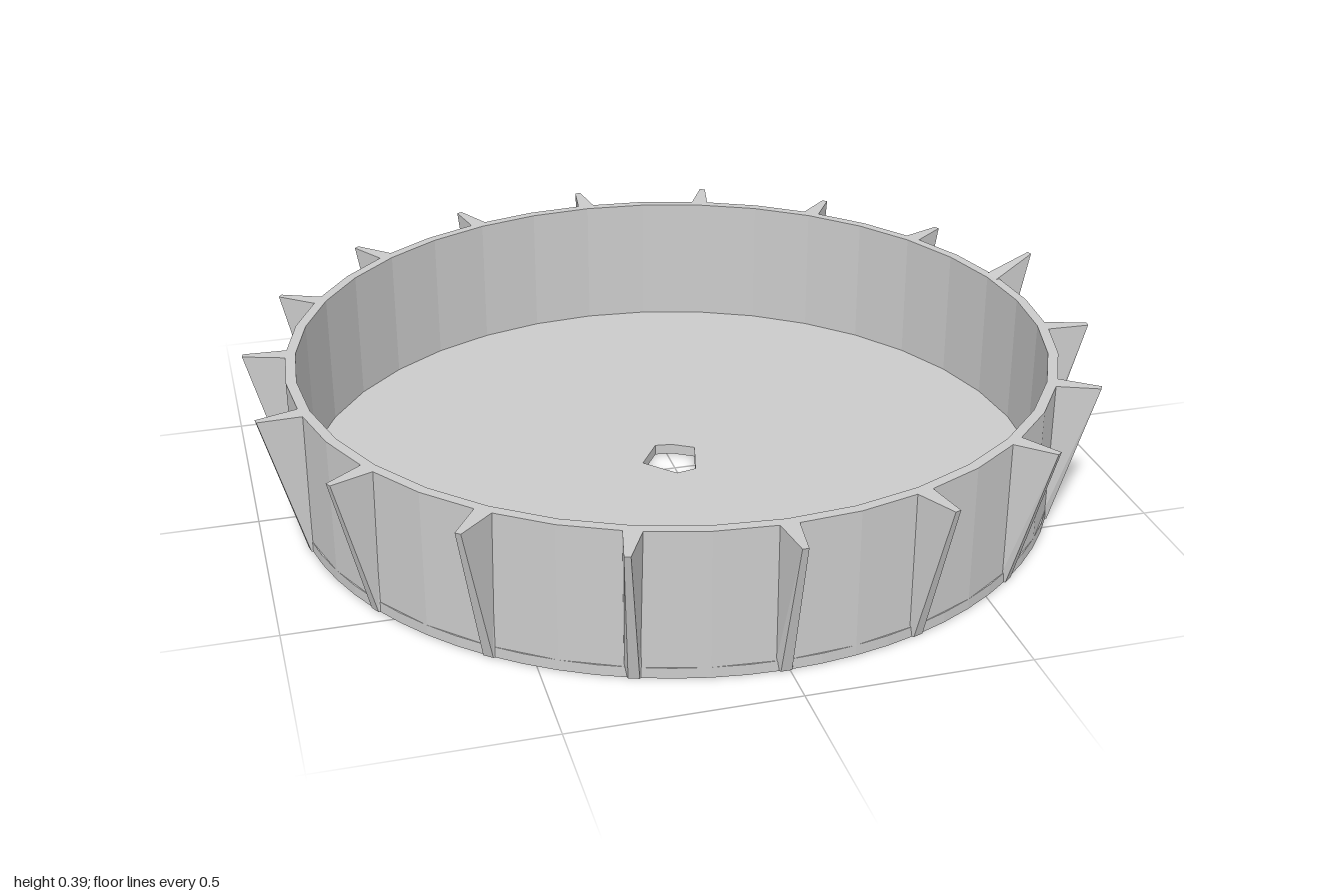
import * as THREE from 'three';

const HEIGHT = 0.345, FLOOR = 0.025, OUTER = 0.902, INNER = 0.878, SIDES = 36;
const FINS = 18;

// Tapered fin: flush with the wall at the bottom, leaning out to a narrow tip at the top
function finGeometry(tipRise) {
  const geo = new THREE.BoxGeometry(2, 1, 1);
  const p = geo.attributes.position;
  for (let i = 0; i < p.count; i++) {
    const side = p.getX(i), top = p.getY(i) > 0, tip = p.getZ(i) > 0;
    const half = tip ? (top ? 0.007 : 0.012) : 0.022;
    const radius = tip ? (top ? 1.0 : 0.905) : 0.89;
    const y = top ? HEIGHT + (tip ? tipRise : 0) : 0;
    p.setXYZ(i, side * half, y, radius);
  }
  geo.computeVertexNormals();
  return geo;
}

export function createModel() {
  const group = new THREE.Group();
  const material = new THREE.MeshStandardMaterial({ color: 0xcccccc, flatShading: true });
  const add = (name, geometry) => {
    const mesh = new THREE.Mesh(geometry, material);
    mesh.name = name;
    group.add(mesh);
    return mesh;
  };

  // Floor disc with an irregular hole near the centre
  const disc = new THREE.Shape();
  disc.absarc(0, 0, OUTER, 0, Math.PI * 2, false);
  const hole = [[-0.02, 0.08], [0.02, 0.075], [0.07, 0.045], [0.043, -0.06], [-0.005, -0.07], [-0.072, 0]];
  disc.holes.push(new THREE.Path(hole.map(([x, y]) => new THREE.Vector2(x, y))));
  const floor = new THREE.ExtrudeGeometry(disc, { depth: FLOOR, bevelEnabled: false, curveSegments: SIDES });
  add('floor', floor.rotateX(-Math.PI / 2));

  // Thin upright wall with a flat rim
  const profile = [[OUTER, FLOOR], [OUTER, HEIGHT], [INNER, HEIGHT], [INNER, FLOOR]];
  add('wall', new THREE.LatheGeometry(profile.map(([r, y]) => new THREE.Vector2(r, y)), SIDES));

  // Ring of fins; one has a raised tip
  const plain = finGeometry(0), raised = finGeometry(0.045);
  for (let i = 0; i < FINS; i++) {
    const isRaised = i === 5; // 100 degrees round from the front
    add(isRaised ? 'raisedFin' : 'fin', isRaised ? raised : plain).rotation.y = (i / FINS) * Math.PI * 2;
  }

  group.position.x = -0.008;
  return group;
}
